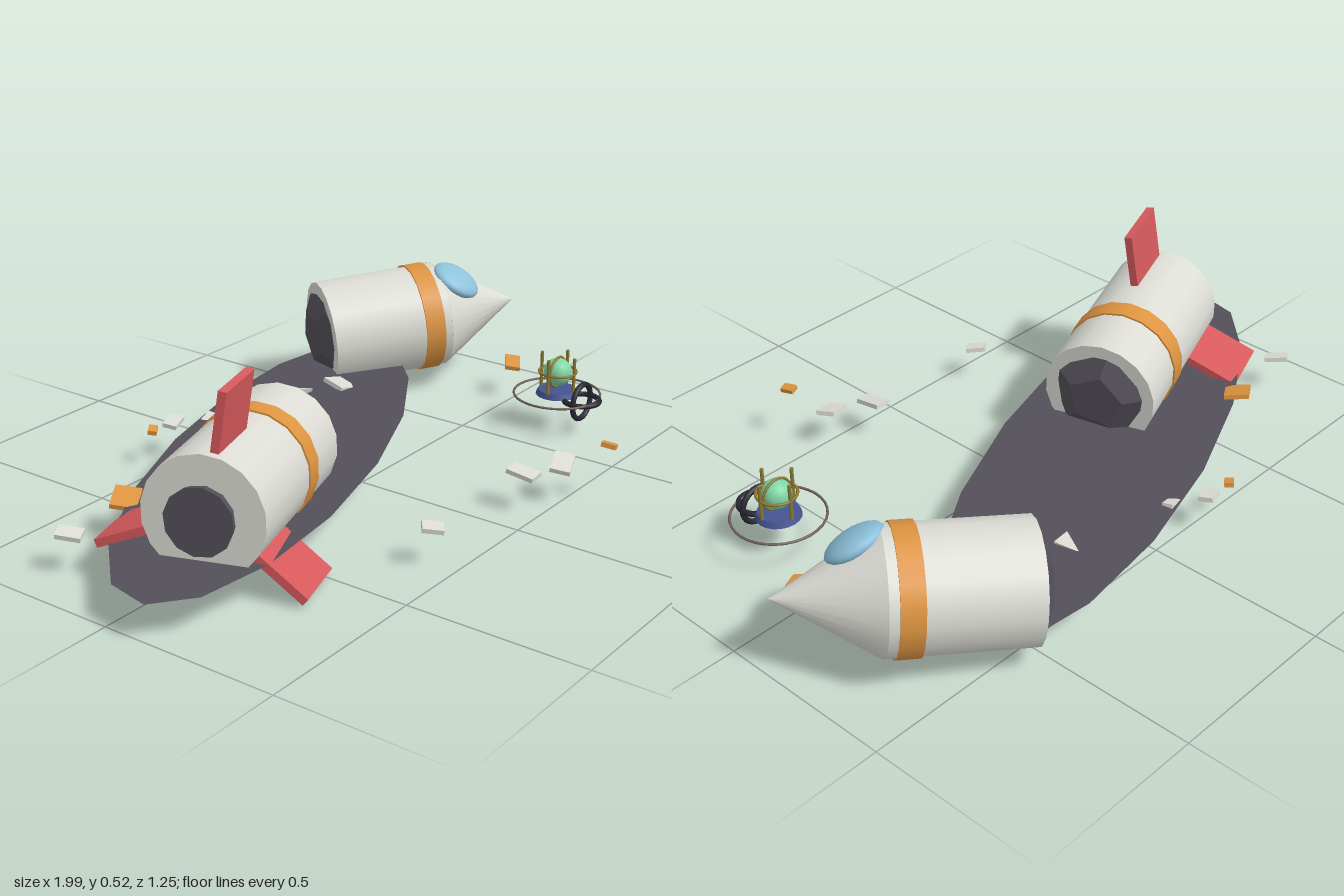
import * as THREE from 'three';

const mat = (name, color, extra = {}) => new THREE.MeshStandardMaterial({ name, color, ...extra });
const deg = THREE.MathUtils.degToRad;

export function createModel() {
  const M = {
    hull: mat('hull white', 0xdcdcd5),
    orange: mat('band orange', 0xdd9440),
    red: mat('fin red', 0xd6595c),
    dark: mat('scorched grey', 0x544f59, { side: THREE.DoubleSide }),
    glass: mat('window blue', 0x8cc0da),
    green: mat('orb green', 0x7fd6a6),
    gold: mat('cage gold', 0x8c7a34),
    blue: mat('base blue', 0x44548f),
    black: mat('ring black', 0x272733),
    tan: mat('hoop taupe', 0x6e6158),
  };
  M.dark.flatShading = true;

  const model = new THREE.Group();
  model.name = 'crashedRocket';
  const add = (parent, name, geometry, material, x = 0, y = 0, z = 0) => {
    const mesh = new THREE.Mesh(geometry, material);
    mesh.name = name;
    mesh.position.set(x, y, z);
    parent.add(mesh);
    return mesh;
  };
  const group = (name, parent = model) => {
    const g = new THREE.Group();
    g.name = name;
    parent.add(g);
    return g;
  };
  // Cylinder along +x, from x0 to x1
  const tube = (x0, x1, r0, r1, sides = 18) =>
    new THREE.CylinderGeometry(r1, r0, x1 - x0, sides).rotateZ(-Math.PI / 2).translate((x0 + x1) / 2, 0, 0);

  // Burnt ground patch
  const scorch = add(model, 'scorchMark', new THREE.CircleGeometry(1, 16).rotateX(-Math.PI / 2), M.dark, -0.155, 0.1, -0.18);
  scorch.scale.set(0.9, 1, 0.29);
  scorch.rotation.y = deg(20);

  // Torn, faceted core showing at a broken end
  const brokenCore = (parent, x) => {
    const core = add(parent, 'brokenCore', new THREE.DodecahedronGeometry(0.132).rotateY(deg(58.3)), M.dark, x);
    core.scale.x = 0.32;
  };

  // Tail section, local +x runs from the nozzle to the broken end
  const R = 0.16;
  const tail = group('tailSection');
  tail.position.set(-0.755, 0.211, 0.093);
  tail.rotation.set(deg(8), deg(19.7), deg(-2.7), 'YZX');
  add(tail, 'tailHull', tube(0, 0.545, R, R), M.hull);
  add(tail, 'tailBand', tube(0.315, 0.377, R + 0.005, R + 0.005), M.orange);
  add(tail, 'nozzle', tube(-0.03, 0.03, 0.09, 0.075, 12), M.dark);
  brokenCore(tail, 0.545);
  for (let i = 0; i < 3; i++) {
    const fin = group('fin', tail);
    fin.rotation.x = i * Math.PI * 2 / 3;
    add(fin, 'finPlate', new THREE.BoxGeometry(0.187, 0.17, 0.022), M.red, 0.117, 0.228);
  }

  // Nose section, local +x runs from the broken end to the tip
  const nose = group('noseSection');
  nose.position.set(0.478, 0.187, -0.505);
  nose.rotation.set(deg(22), deg(-35.5), deg(4.4), 'YZX');
  add(nose, 'noseHull', tube(0, 0.37, R, R), M.hull);
  add(nose, 'noseBand', tube(0.285, 0.345, R + 0.005, R + 0.005), M.orange);
  add(nose, 'noseCone', new THREE.ConeGeometry(R, 0.26, 24).rotateZ(-Math.PI / 2), M.hull, 0.5);
  brokenCore(nose, 0);
  const glass = add(nose, 'window', new THREE.SphereGeometry(1, 20, 14), M.glass, 0.427, 0.12);
  glass.scale.set(0.08, 0.031, 0.075);
  glass.rotation.z = deg(-30);

  // Caged orb on its stand
  const relic = group('cagedOrb');
  relic.position.set(0.655, 0, 0.225);
  const ring = (name, r, t, material, x, y, z, flat) => {
    const mesh = add(relic, name, new THREE.TorusGeometry(r, t, 8, 32), material, x, y, z);
    if (flat) mesh.rotation.x = Math.PI / 2;
  };
  ring('groundHoop', 0.126, 0.0035, M.tan, 0, 0.107, 0, true);
  add(relic, 'base', new THREE.CylinderGeometry(0.055, 0.062, 0.016, 20), M.blue, 0, 0.114, 0);
  add(relic, 'orb', new THREE.SphereGeometry(0.041, 20, 14), M.green, 0, 0.174, 0);
  ring('cageHoop', 0.054, 0.004, M.gold, 0, 0.176, 0, true);
  ring('cageArch', 0.044, 0.004, M.gold, 0, 0.174, 0, false);
  for (let i = 0; i < 4; i++) {
    const a = i * Math.PI / 2;
    add(relic, 'cagePost', new THREE.CylinderGeometry(0.005, 0.005, 0.105, 8), M.gold,
      0.054 * Math.cos(a), 0.173, 0.054 * Math.sin(a));
  }
  ring('handleRingUpright', 0.051, 0.008, M.black, 0, 0.1, 0.083, false);
  ring('handleRingFlat', 0.051, 0.008, M.black, 0, 0.104, 0.083, true);

  // Scattered plates: x, y, z, width, depth, turn, tilt
  const debris = group('debris');
  const plates = [
    ['hull', -0.17, 0.104, -0.535, 0.06, 0.04, 18, 8],
    ['hull', -0.85, 0.104, -0.26, 0.045, 0.065, 30, 10],
    ['hull', -0.08, 0.098, -0.48, 0.045, 0.03, 10, 12],
    ['hull', -0.29, 0.102, 0.43, 0.042, 0.055, 38, 8],
    ['hull', 0.12, 0.104, 0.44, 0.05, 0.08, 2, 4],
    ['hull', 0.23, 0.105, 0.493, 0.08, 0.055, 20, 14],
    ['hull', 0.345, 0.102, -0.335, 0.065, 0.08, -10, -12],
    ['orange', -0.25, 0.104, -0.54, 0.034, 0.025, 35, 10],
    ['orange', -0.62, 0.104, -0.29, 0.085, 0.07, 32, 12],
    ['orange', 0.8, 0.104, -0.017, 0.065, 0.045, 32, 14],
    ['orange', 0.295, 0.161, 0.595, 0.026, 0.04, 15, -12],
  ];
  for (const [m, x, y, z, w, d, turn, tilt] of plates) {
    const plate = add(debris, m + 'Fragment', new THREE.BoxGeometry(w, 0.013, d), M[m], x, y, z);
    plate.rotation.set(deg(8), deg(turn), deg(tilt), 'YZX');
  }
  // Pointed shard stuck in the burnt patch
  const shard = add(debris, 'hullShard', new THREE.CylinderGeometry(0.045, 0.045, 0.013, 3), M.hull, 0.235, 0.102, -0.395);
  shard.rotation.set(deg(12), deg(175), deg(12), 'YZX');
  shard.scale.x = 0.6;

  return model;
}
